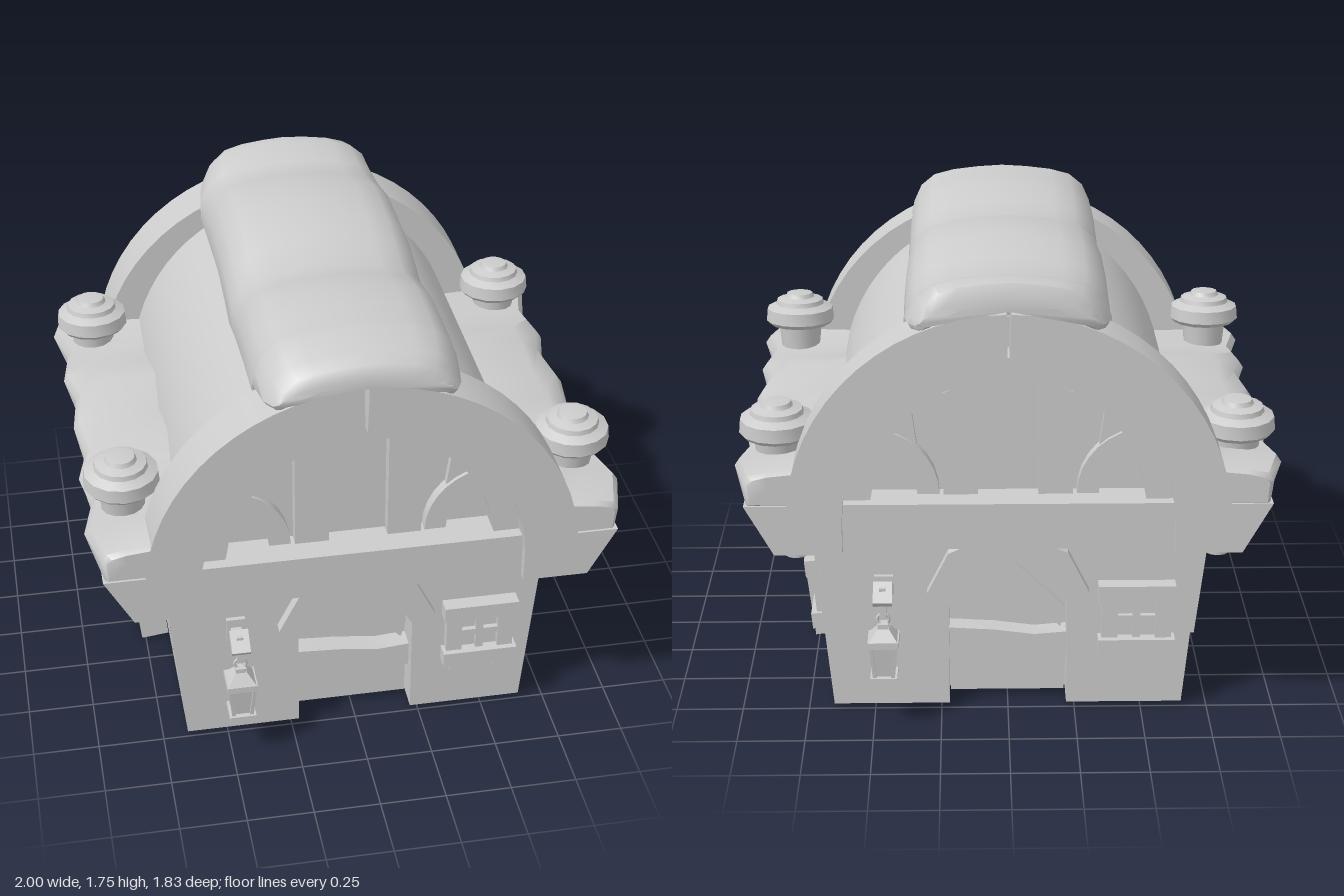
import * as THREE from 'three';
import { toCreasedNormals } from 'three/addons/utils/BufferGeometryUtils.js';

const mat = new THREE.MeshStandardMaterial({ color: 0xcccccc, side: THREE.DoubleSide });

function add(parent, name, geo, x = 0, y = 0, z = 0) {
  const m = new THREE.Mesh(geo, mat);
  m.name = name;
  m.position.set(x, y, z);
  parent.add(m);
  return m;
}
// box given by its limits
function box(parent, name, x0, x1, y0, y1, z0, z1) {
  return add(parent, name, new THREE.BoxGeometry(x1 - x0, y1 - y0, z1 - z0),
    (x0 + x1) / 2, (y0 + y1) / 2, (z0 + z1) / 2);
}
const shapeOf = pts => new THREE.Shape(pts.map(p => new THREE.Vector2(p[0], p[1])));
function slab(parent, name, pts, z0, z1) {
  const g = new THREE.ExtrudeGeometry(shapeOf(pts), { depth: z1 - z0, bevelEnabled: false });
  return add(parent, name, toCreasedNormals(g, 0.5), 0, 0, z0);
}
// points on an elliptical arc round (cx, cy)
function arc(cx, cy, r, a0, a1, n, ry = r) {
  return Array.from({ length: n + 1 }, (_, i) => {
    const a = a0 + (a1 - a0) * i / n;
    return [cx + r * Math.cos(a), cy + ry * Math.sin(a)];
  });
}
// skin over cross-sections, counterclockwise seen from +z, ordered towards +z
function loft(rings, crease) {
  const n = rings[0].length, pos = [], idx = [];
  rings.forEach(r => r.forEach(p => pos.push(...p)));
  for (let k = 0; k < rings.length - 1; k++) for (let i = 0; i < n; i++) {
    const a = k * n + i, b = k * n + (i + 1) % n;
    idx.push(a, b, b + n, a, b + n, a + n);
  }
  [[0, true], [rings.length - 1, false]].forEach(([k, flip]) => {
    const c = pos.length / 3;
    pos.push(...[0, 1, 2].map(j => rings[k].reduce((s, p) => s + p[j], 0) / n));
    for (let i = 0; i < n; i++) {
      const a = k * n + i, b = k * n + (i + 1) % n;
      idx.push(...(flip ? [c, b, a] : [c, a, b]));
    }
  });
  const g = new THREE.BufferGeometry();
  g.setAttribute('position', new THREE.Float32BufferAttribute(pos, 3));
  g.setIndex(idx);
  return toCreasedNormals(g, crease);
}
// piecewise linear lookup in [key, value] pairs with rising keys
function lookup(t, x) {
  let i = 0;
  while (i < t.length - 2 && x > t[i + 1][0]) i++;
  return THREE.MathUtils.mapLinear(x, t[i][0], t[i + 1][0], t[i][1], t[i + 1][1]);
}

const CY = 0.82; // centre height of the vault
const LEAN = Math.atan2(0.065, 0.68); // outward lean of the side walls

// small window, local origin on the wall face
function makeWindow() {
  const g = new THREE.Group();
  g.name = 'window';
  box(g, 'windowPane', -0.12, 0.12, 0.28, 0.48, 0.002, 0.015);
  box(g, 'windowHead', -0.143, 0.143, 0.455, 0.52, 0.002, 0.062);
  box(g, 'windowSill', -0.143, 0.143, 0.24, 0.302, 0.002, 0.062);
  box(g, 'crossBarUpright', -0.015, 0.015, 0.3, 0.46, 0.002, 0.035);
  box(g, 'crossBarLevel', -0.08, 0.08, 0.365, 0.39, 0.002, 0.035);
  for (const s of [-1, 1]) {
    box(g, 'windowStile', s * 0.1 - 0.03, s * 0.1 + 0.03, 0.29, 0.47, 0.002, 0.04);
    box(g, 'windowFoot', s * 0.083 - 0.028, s * 0.083 + 0.028, 0.2, 0.245, 0.002, 0.035);
  }
  return g;
}

function makeLantern() {
  const g = new THREE.Group();
  g.name = 'lantern';
  const four = (name, rt, rb, h, y) => {
    const geo = new THREE.CylinderGeometry(rt * 1.414, rb * 1.414, h, 4).rotateY(Math.PI / 4);
    add(g, name, toCreasedNormals(geo, 0.3), 0, y, 0.12);
  };
  four('lanternBase', 0.05, 0.05, 0.022, 0.193);
  four('lanternGlass', 0.045, 0.03, 0.13, 0.265);
  four('lanternRim', 0.057, 0.057, 0.025, 0.34);
  four('lanternRoof', 0.022, 0.052, 0.04, 0.372);
  four('lanternKnob', 0.02, 0.02, 0.02, 0.4);
  for (const sx of [-1, 1]) for (const sz of [-1, 1]) {
    const bar = box(g, 'lanternBar', sx * 0.04 - 0.007, sx * 0.04 + 0.007, 0.2, 0.335, 0.113 + sz * 0.04, 0.127 + sz * 0.04);
    bar.rotation.set(sz * 0.1, 0, -sx * 0.1);
  }
  add(g, 'lanternRing', new THREE.TorusGeometry(0.022, 0.006, 6, 12), 0, 0.425, 0.12);
  box(g, 'lanternHook', -0.012, 0.012, 0.43, 0.55, 0.11, 0.13);
  box(g, 'bracketPlate', -0.035, 0.035, 0.44, 0.55, 0.002, 0.02);
  box(g, 'bracketArm', -0.02, 0.02, 0.485, 0.515, -0.005, 0.13);
  box(g, 'bracketCap', -0.035, 0.035, 0.515, 0.54, 0.08, 0.17).rotation.x = 0.65;
  return g;
}

// chimney pot with a stepped cap, and its pipe end below the eaves
function makeChimney(x, z, dy) {
  const g = new THREE.Group();
  g.name = 'chimney';
  const profile = [[0, -0.06], [0.075, -0.06], [0.09, 0.1], [0.125, 0.088], [0.141, 0.105], [0.136, 0.155],
    [0.1, 0.172], [0.095, 0.19], [0.06, 0.2], [0.052, 0.216], [0, 0.222]];
  const pot = new THREE.LatheGeometry(profile.map(p => new THREE.Vector2(...p)), 14);
  const tilt = dy ? -0.04 : 0.04;
  add(g, 'chimneyPot', toCreasedNormals(pot, 0.5), x, 1.01 + dy, z).rotation.x = tilt;
  const pipe = new THREE.CylinderGeometry(0.058, 0.048, 0.16, 12);
  add(g, 'pipeEnd', pipe, Math.sign(x) * 0.79, 0.695 + dy * 1.35, z * 0.95).rotation.x = tilt;
  return g;
}

// everything that repeats on the opposite side by a half turn
function makeHalf() {
  const g = new THREE.Group();
  // front wall with arched doorway
  const doorTop = [[-0.22, 0.45], [-0.14, 0.57], [-0.05, 0.62], [0.05, 0.62], [0.14, 0.57], [0.22, 0.45]];
  const wall = [[-0.655, 0.015], [-0.22, 0.015], ...doorTop, [0.22, 0.015], [0.655, 0.015], [0.72, 0.7], [-0.72, 0.7]];
  add(g, 'frontWall', new THREE.ShapeGeometry(shapeOf(wall)), 0, 0, 0.74);
  slab(g, 'doorArch', [[0.3, 0.49], [0.22, 0.65], [0.1, 0.705], [-0.1, 0.705], [-0.22, 0.65], [-0.3, 0.49],
    [-0.21, 0.46], [-0.14, 0.57], [-0.05, 0.62], [0.05, 0.62], [0.14, 0.57], [0.21, 0.46]], 0.7, 0.785);
  // recessed door with rail and diagonal brace
  box(g, 'doorPanel', -0.22, 0.22, 0.02, 0.64, 0.59, 0.61);
  box(g, 'doorBottomBoard', -0.215, 0.215, 0.025, 0.178, 0.6, 0.65);
  slab(g, 'doorRail', [[-0.22, 0.185], [0.22, 0.185], [0.22, 0.285], [0.1, 0.275], [-0.05, 0.295], [-0.22, 0.305]], 0.6, 0.69);
  slab(g, 'doorBrace', [[-0.12, 0.61], [0.2, 0.28], [0.22, 0.36], [-0.06, 0.63]], 0.6, 0.635);
  for (const s of [-1, 1]) box(g, 'doorJamb', s * 0.23 - 0.01, s * 0.23 + 0.01, 0.015, 0.47, 0.59, 0.738);

  // leaning side wall with its buttress
  add(g, 'sideWall', new THREE.PlaneGeometry(1.48, 0.688).rotateY(Math.PI / 2).rotateZ(-LEAN), 0.6875, 0.3575, 0);
  slab(g, 'buttress', [[0.657, 0.013], [0.765, 0], [0.845, 0.7], [0.721, 0.7]], -0.12, 0.13);
  slab(g, 'eavesBeam', [[0.7, 0.7], [0.845, 0.7], [0.95, 0.89], [0.66, 0.89]], -0.7, 0.7);

  // front window and lantern
  const win = makeWindow(), lantern = makeLantern();
  win.position.set(0.477, 0, 0.74);
  lantern.position.set(-0.46, 0, 0.74);
  g.add(win, lantern);

  // gable: two half arches with a narrow joint at the crown
  for (const s of [-1, 1]) {
    const q = Math.PI / 2;
    const pts = [[0.6, 0.7], [0.845, 0.7], [0.95, 0.89], [0.797, 0.89],
      ...arc(0, CY, 0.8, 0.12, q - 0.011, 14, 0.785), ...arc(0, CY, 0.6, q - 0.007, 0, 12)];
    slab(g, 'gableArch', pts.map(p => [s * p[0], p[1]]), 0.7, 0.9);
    // fan pieces beside the middle of the gable window
    const x = s * 0.5, a = s > 0 ? [q, 2 * q] : [q, 0];
    slab(g, 'windowFan', [...arc(x, 0.88, 0.25, a[0], a[1], 8), ...arc(x, 0.88, 0.17, a[1], a[0], 8)], 0.7, 0.765);
    slab(g, 'fanStrut', [[s * 0.33, 1.06], [s * 0.37, 1.02], [s * 0.42, 1.15], [s * 0.35, 1.21]], 0.7, 0.75);
    slab(g, 'gablePlank', [[s * 0.11, 0.88], [s * 0.235, 0.88], [s * 0.235, 1.27], [s * 0.11, 1.33]], 0.7, 0.77);
  }
  slab(g, 'gableWindowFrame', [[0.6, 0.86], ...arc(0, CY, 0.6, 0.1, Math.PI - 0.1, 20), [-0.6, 0.86],
    [-0.5, 0.88], ...arc(0, 0.85, 0.5, Math.PI - 0.06, 0.06, 12), [0.5, 0.88]], 0.7, 0.82);
  slab(g, 'gableBackPanel', [[0.59, 0.8], ...arc(0, CY, 0.59, 0.05, Math.PI - 0.05, 16), [-0.59, 0.8]], 0.69, 0.72);
  box(g, 'gableLintel', -0.6, 0.6, 0.705, 0.88, 0.7, 0.865);

  // scalloped snow along the eaves
  const edge = [[-0.9, 0.945], [-0.7, 0.995], [-0.53, 0.955], [-0.35, 0.985], [-0.18, 0.945], [0, 0.975], [0.18, 0.945],
    [0.35, 0.985], [0.53, 0.955], [0.7, 1], [0.9, 0.945]];
  const crest = [[-0.9, 1.025], [-0.7, 1.02], [-0.45, 1.02], [-0.22, 1.065], [0, 1.03], [0.22, 1.065], [0.45, 1.01],
    [0.7, 1.03], [0.9, 1.025]];
  const zs = [-0.9, -0.88, -0.7, -0.69, -0.53, -0.45, -0.35, -0.2, 0, 0.2, 0.35, 0.45, 0.53, 0.69, 0.7, 0.88, 0.9];
  add(g, 'eaveSnow', loft(zs.map(z => {
    const e = lookup(edge, z), c = lookup(crest, z), i = Math.abs(z) < 0.695 ? 0.628 : 0.76;
    const d = Math.abs(z) > 0.89 ? 0.012 : 0;
    return [[i, 0.885 + d, z], [0.94 - d, 0.885 + d, z], [e - d, 0.972, z],
      [e - 0.02 - d, 1.002 - d, z], [0.86, c - 0.01 - d, z], [i, c - d, z]];
  }), 0.8));
  return g;
}

export function createModel() {
  const model = new THREE.Group();
  model.name = 'vaultedHouse';
  const front = makeHalf(), back = makeHalf();
  front.name = 'frontAndLeftSide';
  back.name = 'backAndRightSide';
  back.rotation.y = Math.PI;
  model.add(front, back);

  // window in the left wall only
  const sideWindow = makeWindow();
  sideWindow.rotation.set(0, Math.PI / 2, -LEAN, 'ZYX');
  sideWindow.position.set(0.655, 0.02, -0.44);
  model.add(sideWindow);

  for (const s of [-1, 1]) model.add(makeChimney(s * 0.842, 0.588, 0), makeChimney(s * 0.842, -0.612, -0.035));

  // vaulted roof shell, open to the room below
  slab(model, 'vaultRoof', [...arc(0, CY, 0.672, 0, Math.PI, 32, 0.715), ...arc(0, CY, 0.66, Math.PI, 0, 32, 0.703)], -0.7, 0.7);

  // thick snow on the ridge: heights of top and bottom, and width factor, along z
  const top = [[-0.9, 1.67], [-0.88, 1.715], [-0.82, 1.725], [-0.66, 1.68], [-0.4, 1.755], [-0.12, 1.75], [0.14, 1.675],
    [0.4, 1.74], [0.7, 1.74], [0.82, 1.71], [0.88, 1.69], [0.9, 1.65]];
  const bottom = [[0, 1.43], [0.685, 1.43], [0.7, 1.51], [0.82, 1.52], [0.88, 1.535], [0.9, 1.56]];
  const width = [[0, 1], [0.65, 1], [0.75, 0.98], [0.86, 0.92], [0.9, 0.82]];
  const half = [[0.355, 0], [0.375, 0.28], [0.365, 0.5], [0.335, 0.72], [0.28, 0.87], [0.2, 0.94], [0.1, 0.98]];
  const zs = [-0.9, -0.88, -0.82, -0.7, -0.685, -0.55, -0.4, -0.26, -0.12, 0.01, 0.14, 0.27, 0.4, 0.55, 0.685, 0.7, 0.82, 0.88, 0.9];
  add(model, 'ridgeSnow', loft(zs.map(z => {
    const t = lookup(top, z), b = lookup(bottom, Math.abs(z)), w = lookup(width, Math.abs(z));
    const side = s => half.map(([x, f]) => [s * x * w, Math.max(b + 0.5 * f * (t - b), t - (1 - f) * Math.max(0.3, t - b)), z]);
    const under = [[-0.2, 0.065], [0, 0.09], [0.2, 0.065]].map(([x, h]) => [x * w, Math.min(b + h, t - 0.04), z]);
    return [...side(1), [0, t, z], ...side(-1).reverse(), ...under];
  }), 0.9));
  return model;
}
